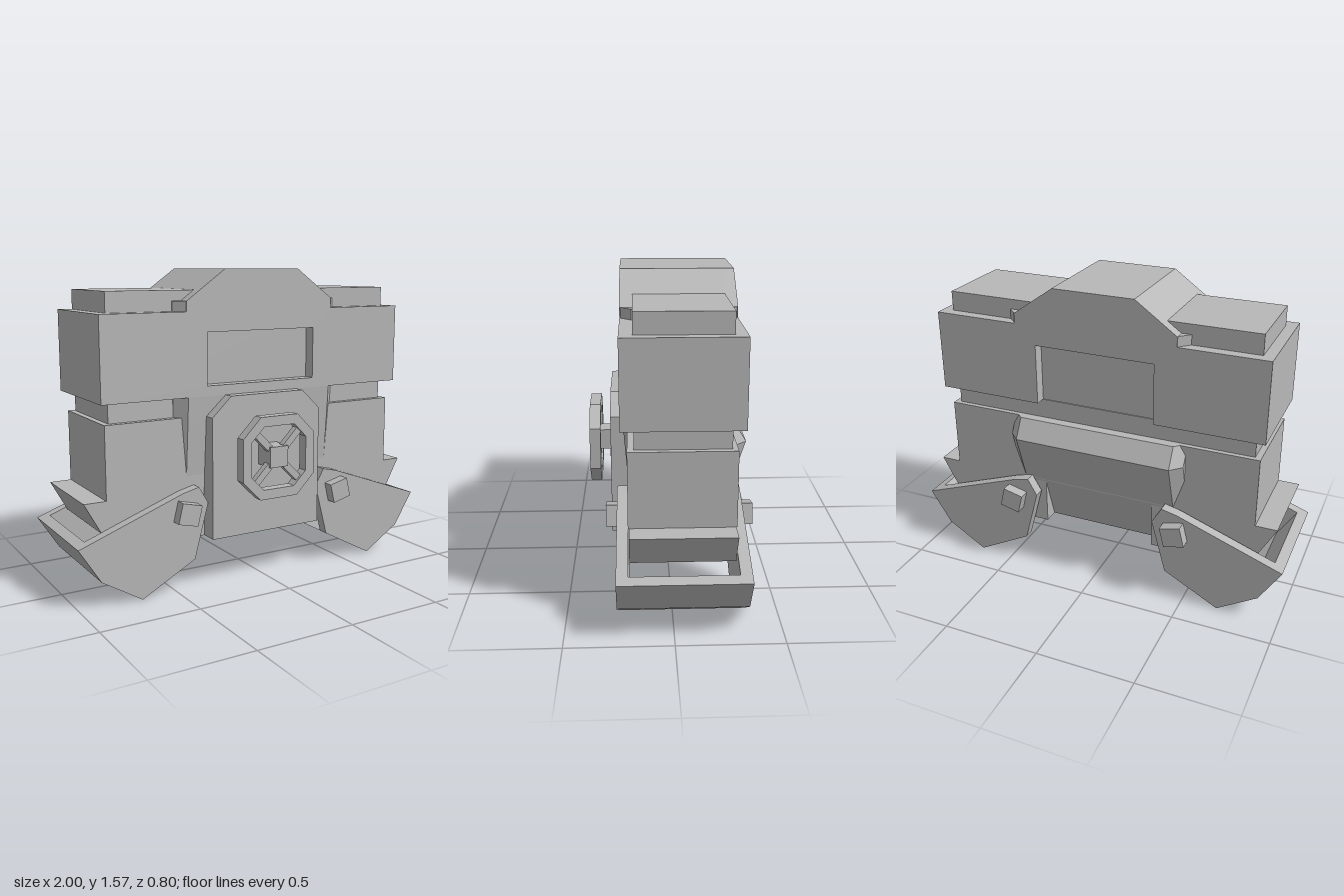
import * as THREE from 'three';
import { ConvexGeometry } from 'three/addons/geometries/ConvexGeometry.js';

const grey = new THREE.MeshStandardMaterial({ color: 0xb8b8b8 });
grey.name = 'plain grey';

export function createModel() {
  const model = new THREE.Group();
  model.name = 'armouredTorso';

  const add = (name, geometry, parent = model) => {
    const mesh = new THREE.Mesh(geometry, grey);
    mesh.name = name;
    parent.add(mesh);
    return mesh;
  };
  // Box given by its lower and upper limits
  const box = (name, x0, x1, y0, y1, z0, z1, parent) =>
    add(name, new THREE.BoxGeometry(x1 - x0, y1 - y0, z1 - z0)
      .translate((x0 + x1) / 2, (y0 + y1) / 2, (z0 + z1) / 2), parent);
  const toPoints = (list) => list.map(([x, y]) => new THREE.Vector2(x, y));
  // Front outline given depth from z0 to z1
  const slab = (name, outline, z0, z1, hole, parent) => {
    const shape = new THREE.Shape(toPoints(outline));
    if (hole) shape.holes.push(new THREE.Path(toPoints(hole)));
    return add(name, new THREE.ExtrudeGeometry(shape, { depth: z1 - z0, bevelEnabled: false })
      .translate(0, 0, z0), parent);
  };
  // Chamfered body built from level sections: [y, back z, front z]
  const chamfered = (name, sections) => {
    const points = [];
    for (const [y, back, front] of sections) {
      for (const s of [-1, 1]) {
        for (const [x, z] of [[0.415, back], [0.47, back + 0.055], [0.47, front - 0.055], [0.415, front]]) {
          points.push(new THREE.Vector3(s * x, y, z));
        }
      }
    }
    return add(name, new ConvexGeometry(points));
  };
  const octagon = (r, c, cy) => [[r, cy - r + c], [r, cy + r - c], [r - c, cy + r], [c - r, cy + r],
    [-r, cy + r - c], [-r, cy - r + c], [c - r, cy - r], [r - c, cy - r]];

  // Chest block with raised head hump, in three layers so the recesses stay open
  const hump = [[0.86, 1.37], [0.42, 1.37], [0.42, 1.42], [0.21, 1.57],
    [-0.21, 1.57], [-0.42, 1.42], [-0.42, 1.37], [-0.86, 1.37]];
  const chest = [[-0.86, 0.96], [0.86, 0.96], ...hump];
  const notched = [[-0.86, 0.96], [-0.31, 0.96], [-0.31, 1.27], [0.31, 1.27], [0.31, 0.96], [0.86, 0.96], ...hump];
  slab('chestFront', chest, 0.175, 0.235, [[-0.31, 1.01], [-0.31, 1.27], [0.31, 1.27], [0.31, 1.01]]);
  slab('chestCore', chest, -0.255, 0.175);
  slab('chestBack', notched, -0.315, -0.255);
  chamfered('neckCollar', [[1.36, -0.315, 0.235], [1.42, -0.315, 0.235]]);

  // Waist and tapered abdomen
  chamfered('abdomen', [[0.25, -0.2, 0.18], [0.76, -0.37, 0.22], [0.86, -0.31, 0.228]]);
  chamfered('upperAbdomen', [[0.86, -0.26, 0.228], [0.96, -0.26, 0.235]]);
  box('waistBlock', -0.835, 0.835, 0.5, 0.86, -0.285, 0.205);

  // Front plate
  slab('frontPlate', [[-0.315, 0.25], [0.315, 0.25], [0.315, 0.86], [0.21, 0.96],
    [-0.21, 0.96], [-0.315, 0.86]], 0.15, 0.29);

  // Hand wheel with four diagonal spokes
  const wheel = new THREE.Group();
  wheel.name = 'handWheel';
  model.add(wheel);
  slab('wheelRim', octagon(0.207, 0.1, 0.655), 0.345, 0.4, octagon(0.158, 0.07, 0.655), wheel);
  box('wheelHub', -0.052, 0.052, 0.603, 0.707, 0.28, 0.4, wheel);
  for (let i = 0; i < 4; i++) {
    const angle = Math.PI / 4 + i * Math.PI / 2;
    const spoke = add('wheelSpoke', new THREE.BoxGeometry(0.13, 0.035, 0.035), wheel);
    spoke.position.set(Math.cos(angle) * 0.125, 0.655 + Math.sin(angle) * 0.125, 0.37);
    spoke.rotation.z = angle;
  }

  for (const s of [-1, 1]) {
    const side = new THREE.Group();
    side.name = s > 0 ? 'leftSide' : 'rightSide';
    model.add(side);
    const flip = (list) => list.map(([x, y]) => [s * x, y]);

    // Inner column that shows as the shoulder pad and the waist gap
    const [x0, x1] = s > 0 ? [0.345, 0.805] : [-0.805, -0.345];
    box('shoulderPad', x0, x1, 0.86, 1.47, -0.26, 0.175, side);

    // Flared hip
    slab('hip', flip([[0.3, 0.25], [0.42, 0.25], [0.86, 0.345], [0.945, 0.5], [0.3, 0.5]]), -0.28, 0.2, null, side);

    // Scoop: two cheek plates joined by a bent outer shell
    const cheek = flip([[0.375, 0.52], [0.325, 0.435], [0.4, 0.157], [0.685, 0.005],
      [0.89, 0.13], [1, 0.305], [0.46, 0.5]]);
    slab('scoopCheekFront', cheek, 0.205, 0.26, null, side);
    slab('scoopCheekBack', cheek, -0.345, -0.29, null, side);
    slab('scoopShell', flip([[0.685, 0.005], [0.89, 0.13], [1, 0.305], [0.95, 0.323],
      [0.85, 0.165], [0.68, 0.062], [0.62, 0.04]]), -0.29, 0.205, null, side);

    // Hinge pin
    const pin = add('hingePin', new THREE.BoxGeometry(0.108, 0.104, 0.715), side);
    pin.position.set(s * 0.45, 0.403, -0.043);
    pin.rotation.z = s * 0.24;
  }
  return model;
}
